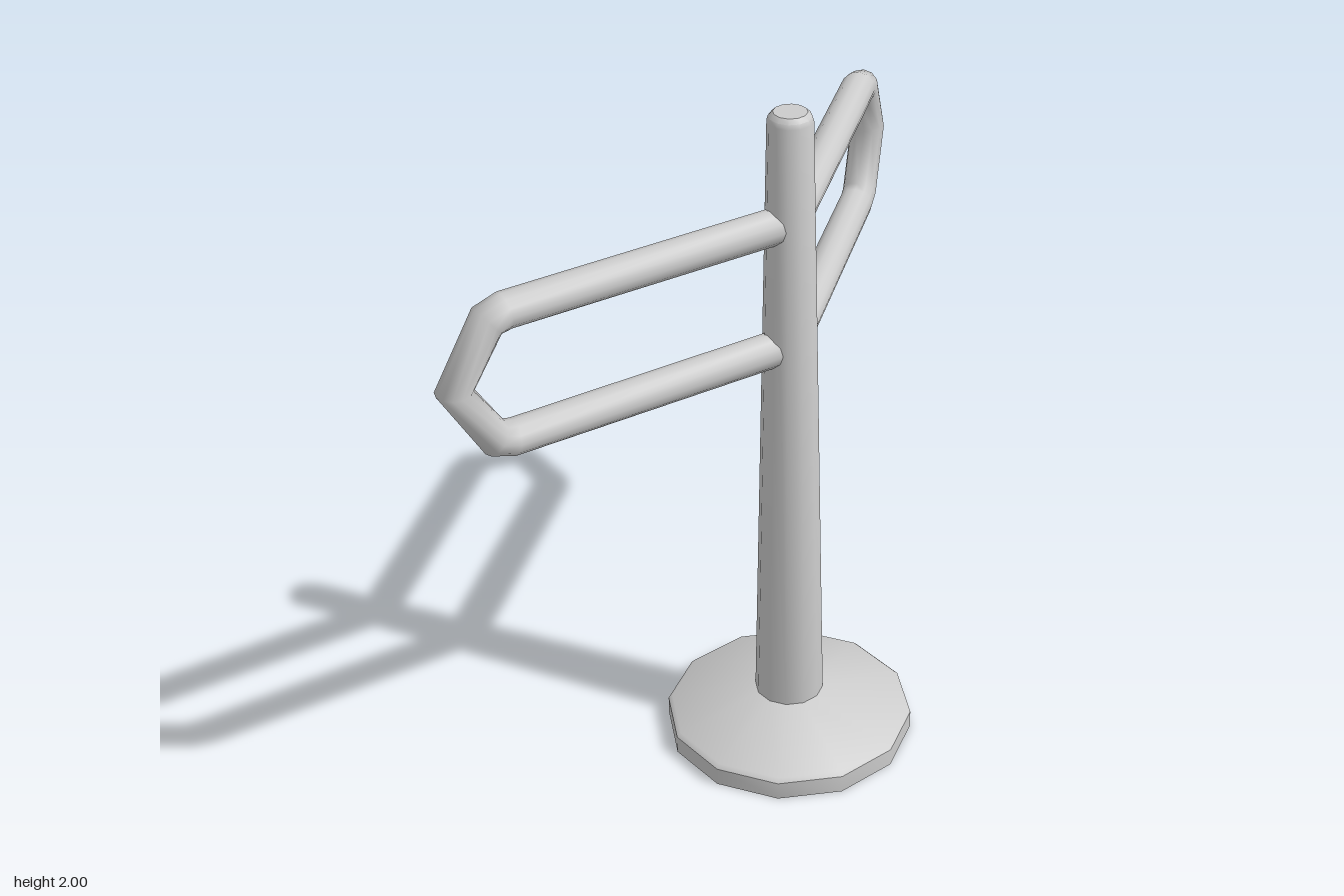
import * as THREE from 'three';
import { toCreasedNormals } from 'three/addons/utils/BufferGeometryUtils.js';

const SIDES = 12;
const POST_X = 0.025;
const material = new THREE.MeshStandardMaterial({ color: 0xcccccc, side: THREE.DoubleSide });

// Revolved part around the post axis, smooth around and sharp at hard rims
function lathe(name, profile) {
  const points = profile.map(([r, y]) => new THREE.Vector2(r, y));
  const mesh = new THREE.Mesh(toCreasedNormals(new THREE.LatheGeometry(points, SIDES), 0.65), material);
  mesh.name = name;
  return mesh;
}

// Round bar swept along a path in the xy plane, one ring per path point
function bentBar(path, radius) {
  const pts = path.map(([x, y]) => new THREE.Vector2(x, y));
  const positions = [], index = [];
  pts.forEach((p, i) => {
    const tangent = new THREE.Vector2();
    if (i > 0) tangent.add(p.clone().sub(pts[i - 1]).normalize());
    if (i < pts.length - 1) tangent.add(pts[i + 1].clone().sub(p).normalize());
    tangent.normalize();
    for (let j = 0; j < SIDES; j++) {
      const a = (j / SIDES) * Math.PI * 2;
      const c = Math.cos(a) * radius;
      positions.push(p.x - tangent.y * c, p.y + tangent.x * c, Math.sin(a) * radius);
      if (i < pts.length - 1) {
        const k = i * SIDES + j, n = i * SIDES + (j + 1) % SIDES;
        index.push(k, k + SIDES, n, n, k + SIDES, n + SIDES);
      }
    }
  });
  const geometry = new THREE.BufferGeometry();
  geometry.setAttribute('position', new THREE.Float32BufferAttribute(positions, 3));
  geometry.setIndex(index);
  geometry.computeVertexNormals();
  return geometry;
}

export function createModel() {
  const model = new THREE.Group();
  model.name = 'postWithRails';

  // Hollow flared foot
  const base = lathe('base', [[0.362, 0], [0.362, 0.055], [0.35, 0.067], [0.1, 0.135]]);

  // Tapered post, open below, with a softly chamfered top
  const post = lathe('post', [[0.1, 0.135], [0.062, 1.975], [0.058, 1.988], [0.046, 2], [0, 2]]);

  for (const part of [base, post]) {
    part.position.x = POST_X;
    model.add(part);
  }

  // Two looped rails, swept back symmetrically from the post
  const upper = [[0, 1.68], [0.85, 1.68], [0.9, 1.665]];
  const midY = 1.493;
  const lower = upper.map(([x, y]) => [x, 2 * midY - y]).reverse();
  const railGeometry = bentBar([...upper, [1.004, midY], ...lower], 0.05);
  const sweep = THREE.MathUtils.degToRad(21.6);
  for (const [name, side] of [['frontRail', 1], ['backRail', -1]]) {
    const rail = new THREE.Mesh(railGeometry, material);
    rail.name = name;
    rail.position.x = POST_X;
    rail.rotation.y = -side * (Math.PI / 2 + sweep);
    model.add(rail);
  }
  return model;
}
